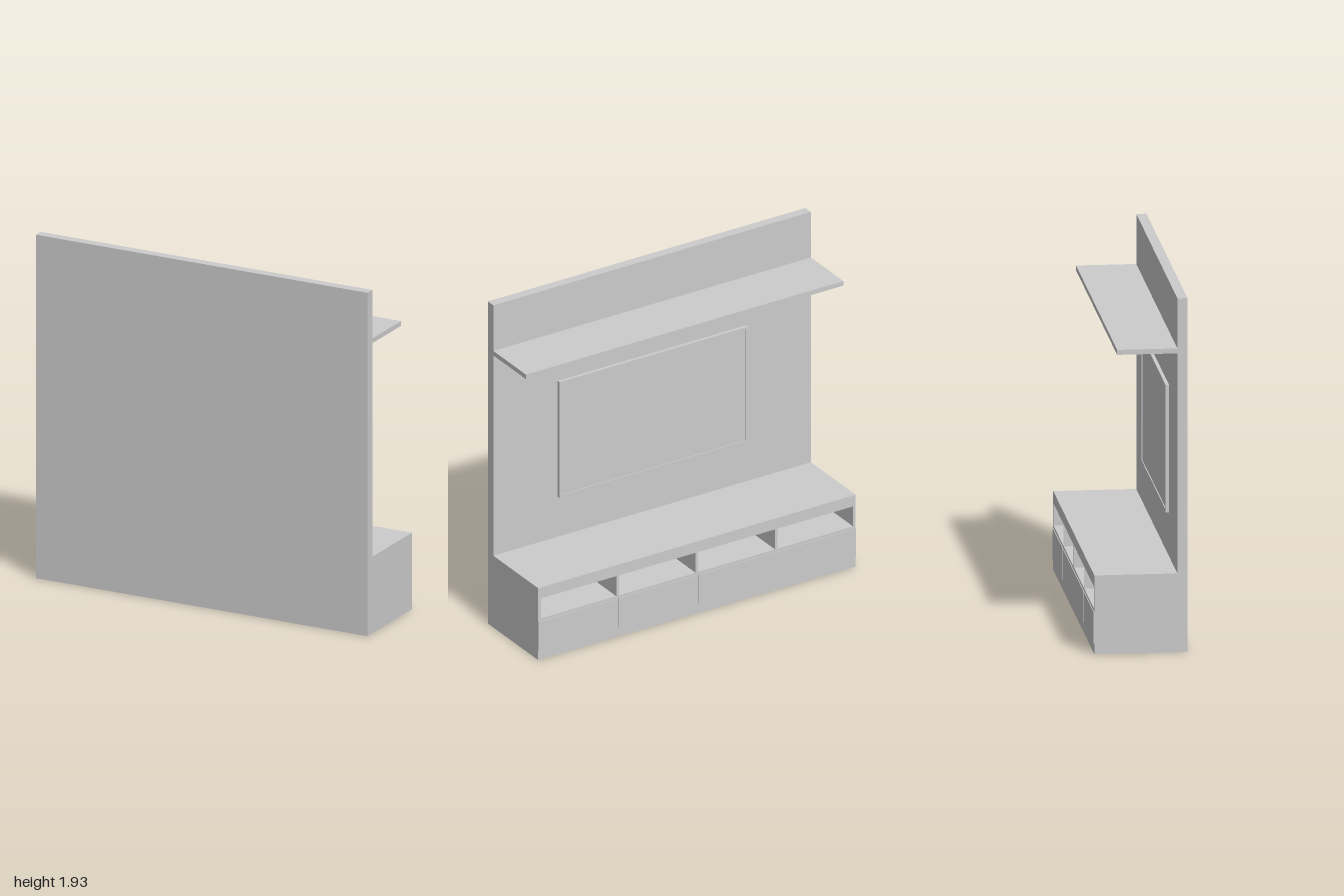
import * as THREE from 'three';

const material = new THREE.MeshStandardMaterial({ color: 0xcccccc });

// Box given by its min and max on each axis
function board(parent, name, [x0, x1], [y0, y1], [z0, z1]) {
  const mesh = new THREE.Mesh(new THREE.BoxGeometry(x1 - x0, y1 - y0, z1 - z0), material);
  mesh.name = name;
  mesh.position.set((x0 + x1) / 2, (y0 + y1) / 2, (z0 + z1) / 2);
  parent.add(mesh);
  return mesh;
}

// Low cabinet: open niches above a row of drawers, facing -z
function createCabinet() {
  const cabinet = new THREE.Group();
  cabinet.name = 'cabinet';
  const depth = [-0.247, 0.197];
  const full = [-1, 1];
  const t = 0.016;
  board(cabinet, 'cabinetBase', full, [0, 0.055], depth);
  board(cabinet, 'cabinetTop', full, [0.365, 0.43], depth);

  // Sides and dividers
  for (let i = 0; i <= 4; i++) {
    const x = -1 + i * 0.5;
    const span = [Math.max(-1, x - t / 2), Math.min(1, x + t / 2)];
    if (i === 0) span[1] = -1 + t;
    if (i === 4) span[0] = 1 - t;
    board(cabinet, i % 4 ? 'divider' : 'cabinetSide', span, [0.055, 0.365], depth);
  }

  // Niche floors and drawer fronts
  for (let i = 0; i < 4; i++) {
    const x0 = -1 + i * 0.5, x1 = x0 + 0.5;
    const left = x0 + (i === 0 ? t : t / 2), right = x1 - (i === 3 ? t : t / 2);
    board(cabinet, 'nicheFloor', [left, right], [0.225, 0.245], depth);
    board(cabinet, 'drawerFront', [x0 + (i ? 0.006 : 0), x1 - (i < 3 ? 0.006 : 0)],
      [0.058, 0.23], [-0.251, -0.235]);
  }
  return cabinet;
}

// Wall-mounted screen with a slim raised bezel
function createScreen() {
  const screen = new THREE.Group();
  screen.name = 'screen';
  const w = 0.595, y0 = 0.67, y1 = 1.365, b = 0.016;
  const outline = new THREE.Shape([[-w, y0], [w, y0], [w, y1], [-w, y1]]
    .map(([x, y]) => new THREE.Vector2(x, y)));
  outline.holes.push(new THREE.Path([[-w + b, y0 + b], [-w + b, y1 - b], [w - b, y1 - b], [w - b, y0 + b]]
    .map(([x, y]) => new THREE.Vector2(x, y))));
  const bezel = new THREE.Mesh(
    new THREE.ExtrudeGeometry(outline, { depth: 0.02, bevelEnabled: false }), material);
  bezel.name = 'bezel';
  bezel.position.z = 0.178;
  screen.add(bezel);
  board(screen, 'displayPanel', [-w + b, w - b], [y0 + b, y1 - b], [0.183, 0.198]);
  return screen;
}

export function createModel() {
  const model = new THREE.Group();
  model.name = 'mediaWall';
  board(model, 'backPanel', [-1, 1], [0, 1.93], [0.197, 0.251]);
  board(model, 'wallShelf', [-1, 1], [1.63, 1.657], [-0.125, 0.197]);
  model.add(createScreen(), createCabinet());
  return model;
}
